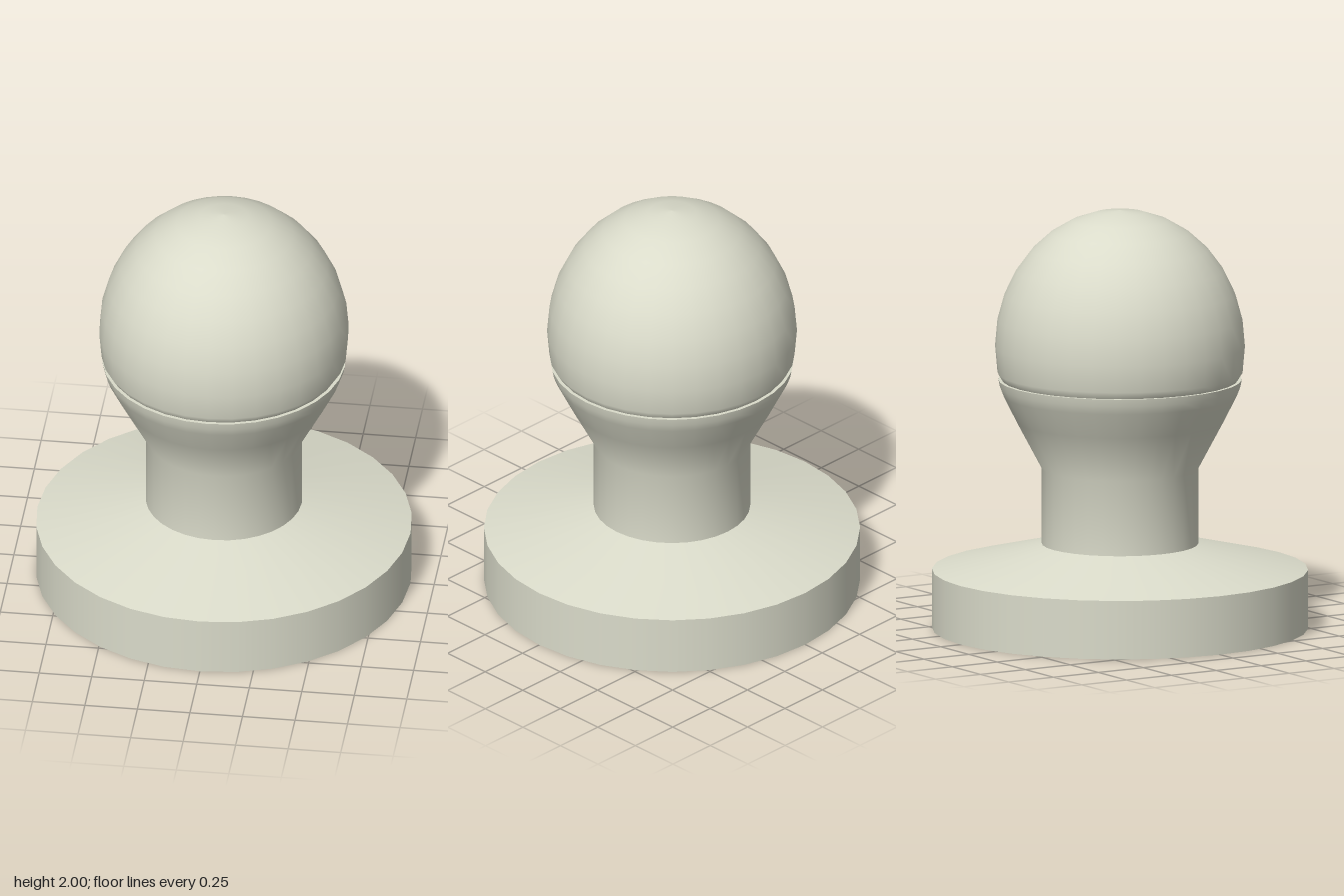
import * as THREE from 'three';

const SIDES = 32;

export function createModel() {
  const model = new THREE.Group();
  const ivory = new THREE.MeshStandardMaterial({ color: 0xdadbca });
  ivory.name = 'ivory';

  // Turned part: profile of [radius, height] pairs, listed so that faces point outward
  const turn = (name, profile) => {
    const points = profile.map(([r, y]) => new THREE.Vector2(r, y));
    const mesh = new THREE.Mesh(new THREE.LatheGeometry(points, SIDES), ivory);
    mesh.name = name;
    model.add(mesh);
  };

  // Round base: separate pieces keep the rims sharp
  turn('baseUnderside', [[0, 0], [0.888, 0]]);
  turn('baseRim', [[0.888, 0], [0.888, 0.28]]);
  turn('baseSlope', [[0.888, 0.28], [0.37, 0.405]]);

  // Straight neck flaring into a cup
  turn('neck', [[0.37, 0.405], [0.37, 0.765], [0.49, 0.99], [0.553, 1.115], [0.568, 1.155], [0.575, 1.19]]);
  turn('cupLip', [[0.575, 1.19], [0.55, 1.19]]);

  // Slightly tall ball, cut off where it sits in the cup
  const ball = [[0.558, 1.19]];
  for (let i = 9; i >= 0; i--) {
    const a = (i * Math.PI) / 16;
    ball.push([0.59 * Math.sin(a), 1.35 + 0.65 * Math.cos(a)]);
  }
  turn('ball', ball);

  return model;
}
